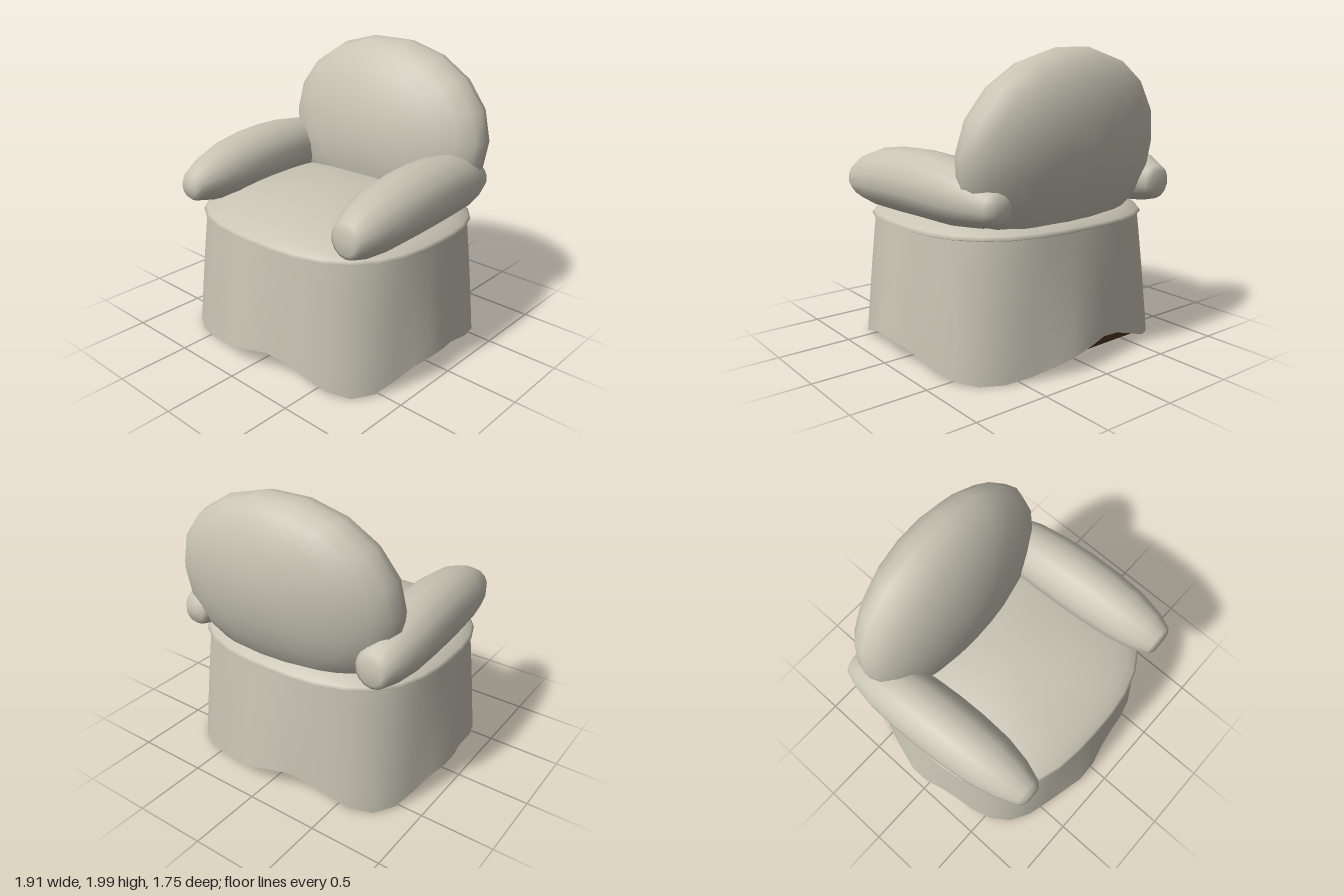
import * as THREE from 'three';
import { mergeVertices } from 'three/addons/utils/BufferGeometryUtils.js';

const fabric = new THREE.MeshStandardMaterial({ color: 0xc8c4b4, side: THREE.DoubleSide });
fabric.name = 'cream fabric';
const wood = new THREE.MeshStandardMaterial({ color: 0x4b3320 });
wood.name = 'dark wood';

const { lerp } = THREE.MathUtils;

// Move every vertex by a rule, then weld and smooth
function reshape(geometry, rule) {
  const p = geometry.attributes.position;
  const v = new THREE.Vector3();
  for (let i = 0; i < p.count; i++) {
    v.fromBufferAttribute(p, i);
    rule(v);
    p.setXYZ(i, v.x, v.y, v.z);
  }
  geometry.deleteAttribute('uv');
  geometry.deleteAttribute('normal');
  const welded = mergeVertices(geometry, 1e-4);
  welded.computeVertexNormals();
  return welded;
}

// Radius of a rounded square in the direction (s, c)
const squareness = (s, c, n = 2.7) =>
  Math.pow(Math.pow(Math.abs(s), n) + Math.pow(Math.abs(c), n), -1 / n);

// Flared cloth skirt: each side billows out near its middle, and the hem
// lifts mid-side and dips at the corners
function skirtGeometry() {
  const around = 40, rows = 6, pos = [], index = [];
  for (let j = 0; j <= rows; j++) {
    const t = j / rows;
    for (let i = 0; i < around; i++) {
      const a = (i / around) * Math.PI * 2;
      const s = Math.sin(a), c = Math.cos(a), f = squareness(s, c, lerp(2.7, 3.6, t));
      const billow = 0.07 * t * Math.pow(Math.cos(2 * (a + 0.09)), 8);
      const hem = 0.157 * Math.pow(Math.cos(2 * (a - 0.035 - 0.135 * Math.cos(2 * a))), 2);
      pos.push(
        s * (f * lerp(0.86, 0.892, t) + billow),
        lerp(0.885, hem, t),
        c * (f * lerp(0.775, 0.803, t) + billow)
      );
      if (j < rows) {
        const p = j * around + i, q = j * around + ((i + 1) % around);
        index.push(p, p + around, q, q, p + around, q + around);
      }
    }
  }
  const g = new THREE.BufferGeometry();
  g.setAttribute('position', new THREE.Float32BufferAttribute(pos, 3));
  g.setIndex(index);
  g.computeVertexNormals();
  return g;
}

// Plump rounded-square seat, flatter underneath
function seatGeometry() {
  return reshape(new THREE.SphereGeometry(1, 32, 16), (v) => {
    const r = Math.hypot(v.x, v.z);
    const f = r > 1e-5 ? squareness(v.x / r, v.z / r) : 1;
    const y = v.y > 0 ? 0.21 * Math.pow(v.y, 1.4) : 0.04 * v.y;
    v.set(v.x * f * 0.885, 0.88 + y, v.z * f * 0.795);
  });
}

// Oval back cushion, fuller below, leaning back and slightly twisted
function backGeometry() {
  return reshape(new THREE.SphereGeometry(1, 18, 12).rotateX(Math.PI / 2), (v) => {
    const r = Math.hypot(v.x, v.y);
    const f = r > 1e-5 && v.y < 0 ? squareness(v.x / r, v.y / r, 2.4) : 1;
    const y = v.y * f * 0.62;
    const x = v.x * f * 0.81 - 0.05 * Math.max(y, 0);
    v.set(x, 1.38 + y, -0.55 + v.z * 0.325 - 0.1 * y - 0.05 * x);
  });
}

// Bolster arm with blunt ends, slightly turned and drooping at both tips
function armGeometry() {
  const profile = [
    [0, -0.735], [0.08, -0.73], [0.115, -0.71], [0.16, -0.6], [0.197, -0.42], [0.213, -0.2],
    [0.217, 0], [0.212, 0.2], [0.195, 0.42], [0.155, 0.6], [0.105, 0.73], [0.07, 0.765], [0, 0.77],
  ].map(([r, y]) => new THREE.Vector2(r, y));
  return reshape(new THREE.LatheGeometry(profile, 14).rotateX(Math.PI / 2), (v) => {
    v.x += -0.688 + 0.06 * v.z;
    v.y += 1.143 - 0.11 * v.z * v.z;
  });
}

export function createModel() {
  const group = new THREE.Group();
  group.name = 'armchair';
  const add = (name, geometry, material) => {
    const mesh = new THREE.Mesh(geometry, material);
    mesh.name = name;
    group.add(mesh);
    return mesh;
  };

  // Wooden plinth under the skirt, turned very slightly
  const base = add('base', new THREE.BoxGeometry(1.345, 0.2, 1.3), wood);
  base.position.y = 0.1;
  base.rotation.y = 0.03;

  add('skirt', skirtGeometry(), fabric);
  add('seat', seatGeometry(), fabric);
  add('backCushion', backGeometry(), fabric);

  // The second arm is the first turned half way round
  const arm = armGeometry();
  add('rightArm', arm, fabric);
  add('leftArm', arm, fabric).rotation.y = Math.PI;

  return group;
}
